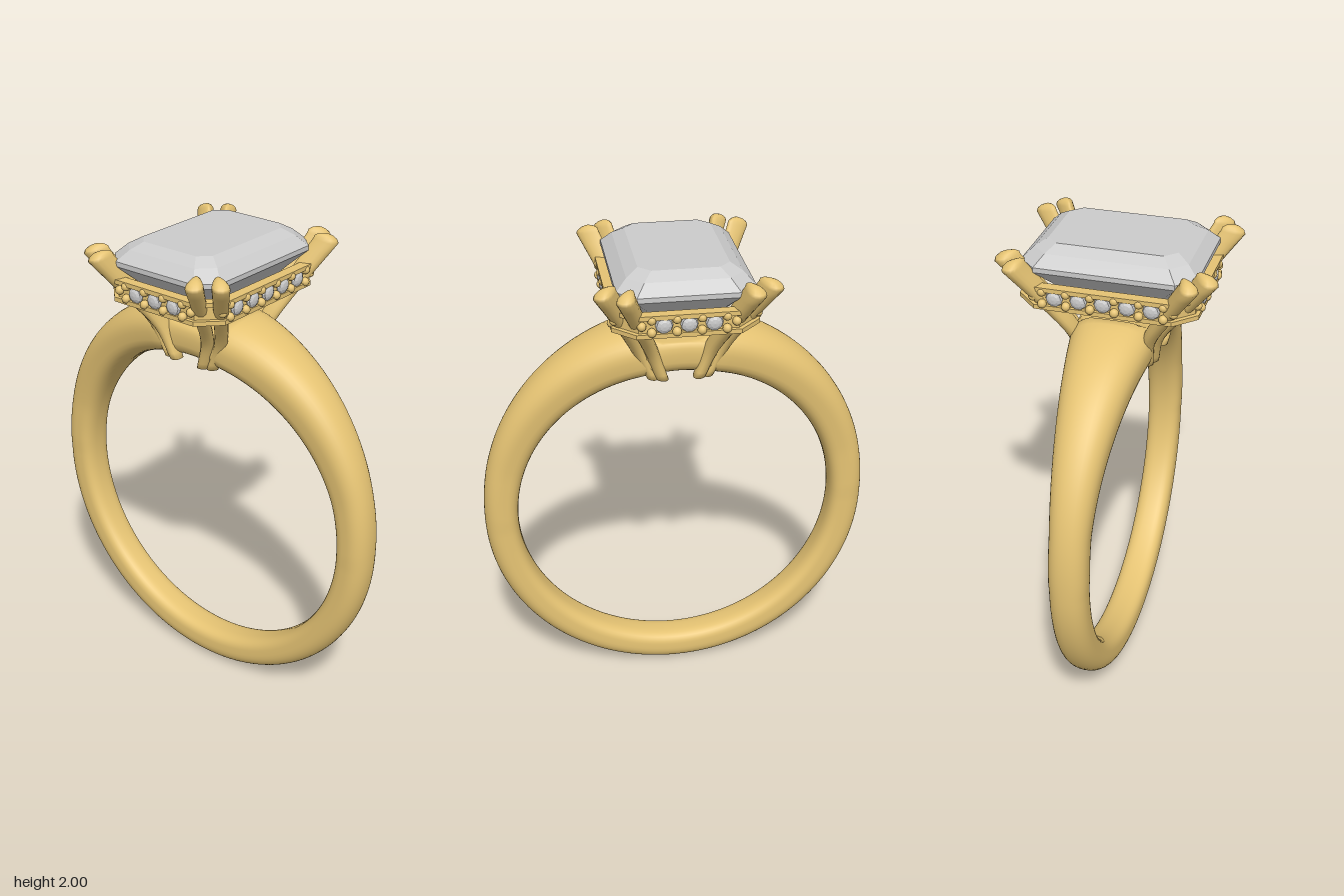
import * as THREE from 'three';

const gold = new THREE.MeshStandardMaterial({ color: 0xe5c373 });
const stoneMat = new THREE.MeshStandardMaterial({ color: 0xcccccc, flatShading: true });

// Skin over rings of [x, y, z] points; open lofts get a fan cap at each end
function loft(rings, closed = false) {
  const n = rings[0].length, m = rings.length, pos = rings.flat(2), idx = [];
  for (let i = 0; i < (closed ? m : m - 1); i++) {
    for (let j = 0; j < n; j++) {
      const k = (j + 1) % n, a = i * n, b = ((i + 1) % m) * n;
      idx.push(a + j, a + k, b + k, a + j, b + k, b + j);
    }
  }
  if (!closed) {
    [0, m - 1].forEach((r, end) => {
      const c = pos.length / 3;
      for (let q = 0; q < 3; q++) pos.push(rings[r].reduce((s, p) => s + p[q], 0) / n);
      for (let j = 0; j < n; j++) {
        const a = r * n + j, b = r * n + (j + 1) % n;
        idx.push(c, end ? a : b, end ? b : a);
      }
    });
  }
  const g = new THREE.BufferGeometry();
  g.setAttribute('position', new THREE.Float32BufferAttribute(pos, 3));
  g.setIndex(idx);
  g.computeVertexNormals();
  return g;
}

function add(parent, name, geometry, material) {
  const mesh = new THREE.Mesh(geometry, material);
  mesh.name = name;
  parent.add(mesh);
  return mesh;
}

// Rectangle with cut corners
const oct = (x, z, c) => [
  [x, z - c], [x, c - z], [x - c, -z], [c - x, -z],
  [-x, c - z], [-x, z - c], [c - x, z], [x - c, z],
];

// Band: domed outside, nearly flat inside, growing wider and thicker at the top
function bandGeometry() {
  const rings = [], N = 144, M = 36;
  const soft = (v, e) => Math.sign(v) * Math.abs(v) ** e;
  for (let i = 0; i < N; i++) {
    const t = (i / N) * Math.PI * 2, up = Math.max(0, Math.cos(t));
    const outer = 0.82 + 0.08 * up ** 1.5, mid = 0.75 + 0.035 * up, inner = 0.678;
    const across = Math.abs(Math.sin(t)) * 0.82;
    const w = up > 0 ? Math.min(0.165, 0.078 + 0.145 * Math.max(0, 0.78 - across)) : 0.076;
    const ring = [];
    for (let j = 0; j < M; j++) {
      const a = (j / M) * Math.PI * 2, s = Math.sin(a), c = Math.cos(a);
      const r = s > 0 ? mid + (outer - mid) * soft(s, 0.9) : mid + (mid - inner) * soft(s, 0.6);
      const x = r * Math.sin(t);
      let y = 0.82 + r * Math.cos(t);
      // saddle under the stone
      y = Math.min(y, 1.65 + Math.max(0, Math.abs(x) - 0.1) * 0.8);
      ring.push([x, y, -w * soft(c, s > 0 ? 0.9 : 0.75)]);
    }
    rings.push(ring);
  }
  return loft(rings, true);
}

// Prong: wedge section, broad outside, swept along a leaning path to a domed tip
function prongGeometry(path, dx, dz) {
  const curve = new THREE.CatmullRomCurve3(path.map(p => new THREE.Vector3(...p)));
  const rings = [], N = 14, M = 16;
  const ring = (p, u, v, y = 0, tilt = 0) => {
    const out = [];
    for (let j = 0; j < M; j++) {
      const a = (j / M) * Math.PI * 2, c = Math.cos(a);
      const U = u * c, V = v * Math.sin(a) * (0.8 + 0.35 * c);
      out.push([p.x + dx * U + dz * V, p.y + y - tilt * c, p.z + dz * U - dx * V]);
    }
    rings.push(out);
  };
  for (let i = 0; i <= N; i++) {
    const t = i / N;
    ring(curve.getPoint(t), 0.028 + 0.022 * t, 0.028 + 0.006 * t + 0.006 * t ** 6, 0, 0.01 * t);
  }
  const tip = curve.getPoint(1);
  ring(tip, 0.046, 0.036, 0.012, 0.01);
  ring(tip, 0.032, 0.025, 0.022, 0.007);
  ring(tip, 0.015, 0.012, 0.027, 0.003);
  return loft(rings);
}

// Flat octagonal ring standing at height y
function ringGeometry(x, z, c, wall, height, y) {
  const pts = (d) => oct(x - d, z - d, c - d * 0.6).map(p => new THREE.Vector2(...p));
  const shape = new THREE.Shape(pts(0));
  shape.holes.push(new THREE.Path(pts(wall)));
  const g = new THREE.ExtrudeGeometry(shape, { depth: height, bevelEnabled: false });
  return g.rotateX(-Math.PI / 2).translate(0, y, 0);
}

export function createModel() {
  const ring = new THREE.Group();
  ring.name = 'ring';
  add(ring, 'band', bandGeometry(), gold);

  // Step-cut centre stone, keel to table: half x, half z, corner cut, y
  const steps = [
    [0.006, 0.085, 0.003, 1.66], [0.12, 0.2, 0.035, 1.755], [0.2, 0.28, 0.055, 1.845],
    [0.265, 0.345, 0.07, 1.91], [0.265, 0.345, 0.07, 1.93],
    [0.222, 0.302, 0.06, 1.972], [0.175, 0.255, 0.045, 2.0],
  ];
  const stone = loft(steps.map(([x, z, c, y]) => oct(x, z, c).map(p => [p[0], y, p[1]])));
  add(ring, 'centreStone', stone.toNonIndexed(), stoneMat).geometry.computeVertexNormals();

  // Paired prongs at each corner
  const prongs = new THREE.Group();
  prongs.name = 'prongs';
  ring.add(prongs);
  const pair = [
    { d: [0.5, 0.866], path: [[0.07, 1.495, 0.142], [0.112, 1.62, 0.165], [0.168, 1.77, 0.262], [0.235, 1.945, 0.385]] },
    { d: [0.8, 0.6], path: [[0.105, 1.495, 0.13], [0.157, 1.62, 0.145], [0.222, 1.77, 0.225], [0.308, 1.945, 0.332]] },
  ];
  for (const sx of [1, -1]) for (const sz of [1, -1]) for (const { d, path } of pair) {
    const pts = path.map(([x, y, z]) => [x * sx, y, z * sz]);
    add(prongs, 'prong', prongGeometry(pts, d[0] * sx, d[1] * sz), gold);
  }

  // Gallery frame: two rails with a recessed wall between
  const halo = new THREE.Group();
  halo.name = 'galleryFrame';
  ring.add(halo);
  add(halo, 'upperRail', ringGeometry(0.29, 0.36, 0.085, 0.045, 0.018, 1.845), gold);
  add(halo, 'lowerRail', ringGeometry(0.285, 0.355, 0.085, 0.04, 0.018, 1.77), gold);
  add(halo, 'wall', ringGeometry(0.27, 0.34, 0.08, 0.025, 0.06, 1.786), gold);

  // Small stones and holding beads along the four sides
  const gem = new THREE.SphereGeometry(0.034, 10, 6).rotateX(Math.PI / 2).scale(1, 1, 0.55);
  const bead = new THREE.SphereGeometry(0.018, 12, 8);
  const sides = [[0, 0.34, 1], [Math.PI, 0.34, 1], [Math.PI / 2, 0.27, 2], [-Math.PI / 2, 0.27, 2]];
  for (const [angle, dist, reach] of sides) {
    const side = new THREE.Group();
    side.name = 'stoneRow';
    side.rotation.y = angle;
    halo.add(side);
    for (let i = -reach; i <= reach; i++) {
      add(side, 'smallStone', gem, stoneMat).position.set(i * 0.095, 1.818, dist + 0.004);
    }
    for (let i = -reach - 0.5; i <= reach + 0.5; i++) {
      for (const y of [1.843, 1.793]) add(side, 'bead', bead, gold).position.set(i * 0.095, y, dist + 0.01);
    }
    for (const s of [1, -1]) {
      add(side, 'endBead', bead, gold).position.set(s * (reach * 0.095 + 0.085), 1.818, dist + 0.005);
    }
  }
  return ring;
}
